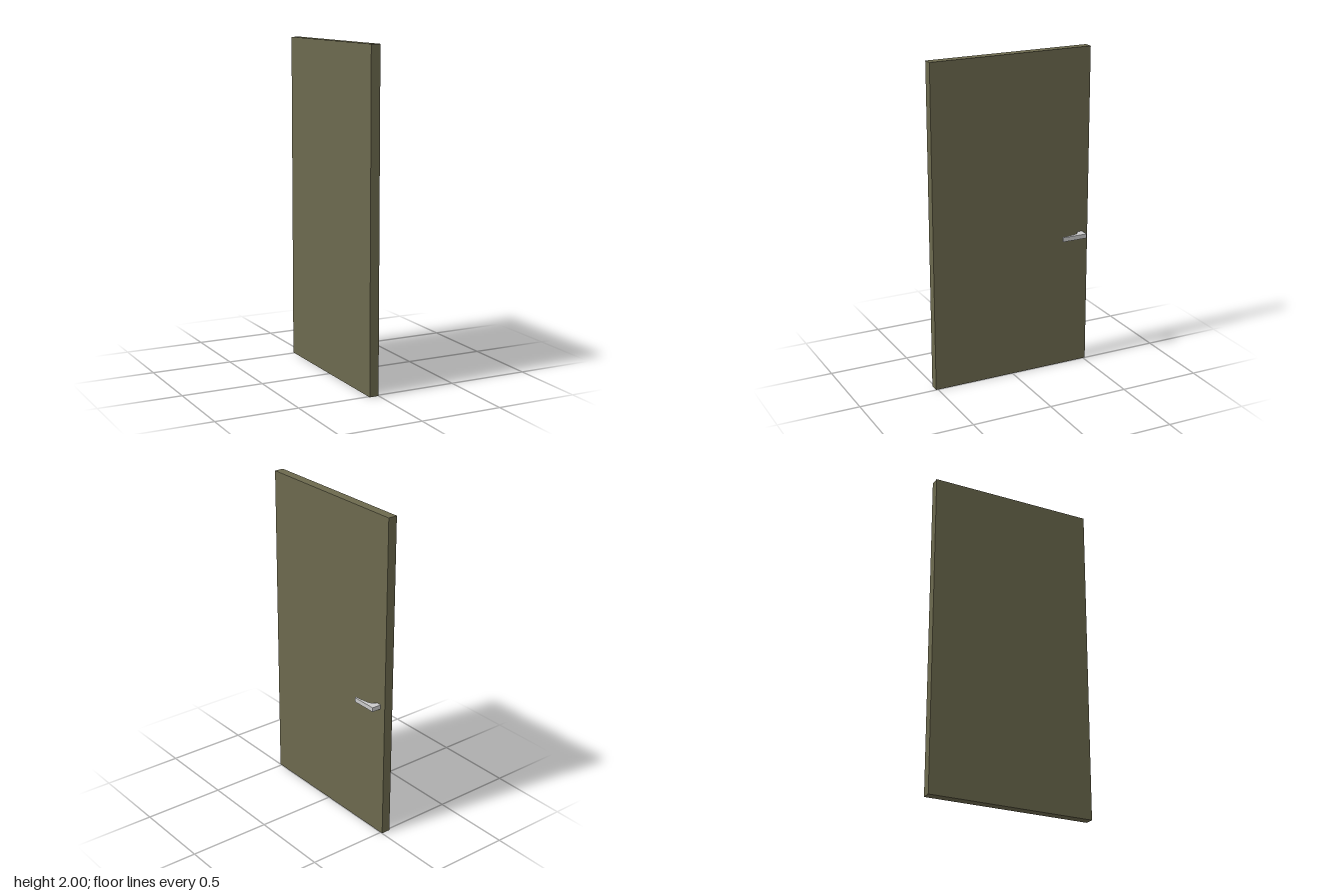
import * as THREE from 'three';

export function createModel() {
  const model = new THREE.Group();
  model.name = 'door';

  // Door leaf: a plain slab standing on the ground
  const leafMaterial = new THREE.MeshStandardMaterial({ color: 0x6c694e });
  const leaf = new THREE.Mesh(new THREE.BoxGeometry(0.057, 2, 1.026), leafMaterial);
  leaf.name = 'doorLeaf';
  leaf.position.set(-0.0295, 1, 0);
  model.add(leaf);

  // Lever handle: plan outline (x, -z) with a curved inner edge, extruded upwards
  const outline = new THREE.Shape();
  outline.moveTo(-0.001, 0.476);
  outline.lineTo(-0.001, 0.443);
  outline.bezierCurveTo(0.032, 0.443, 0.039, 0.395, 0.047, 0.316);
  outline.lineTo(0.058, 0.316);
  outline.lineTo(0.058, 0.476);
  outline.closePath();

  const handleGeometry = new THREE.ExtrudeGeometry(outline, {
    depth: 0.027,
    bevelEnabled: false,
    curveSegments: 16,
  });
  handleGeometry.rotateX(-Math.PI / 2);

  const handleMaterial = new THREE.MeshStandardMaterial({ color: 0xcccccc });
  const handle = new THREE.Mesh(handleGeometry, handleMaterial);
  handle.name = 'leverHandle';
  handle.position.y = 0.83;
  model.add(handle);

  return model;
}
